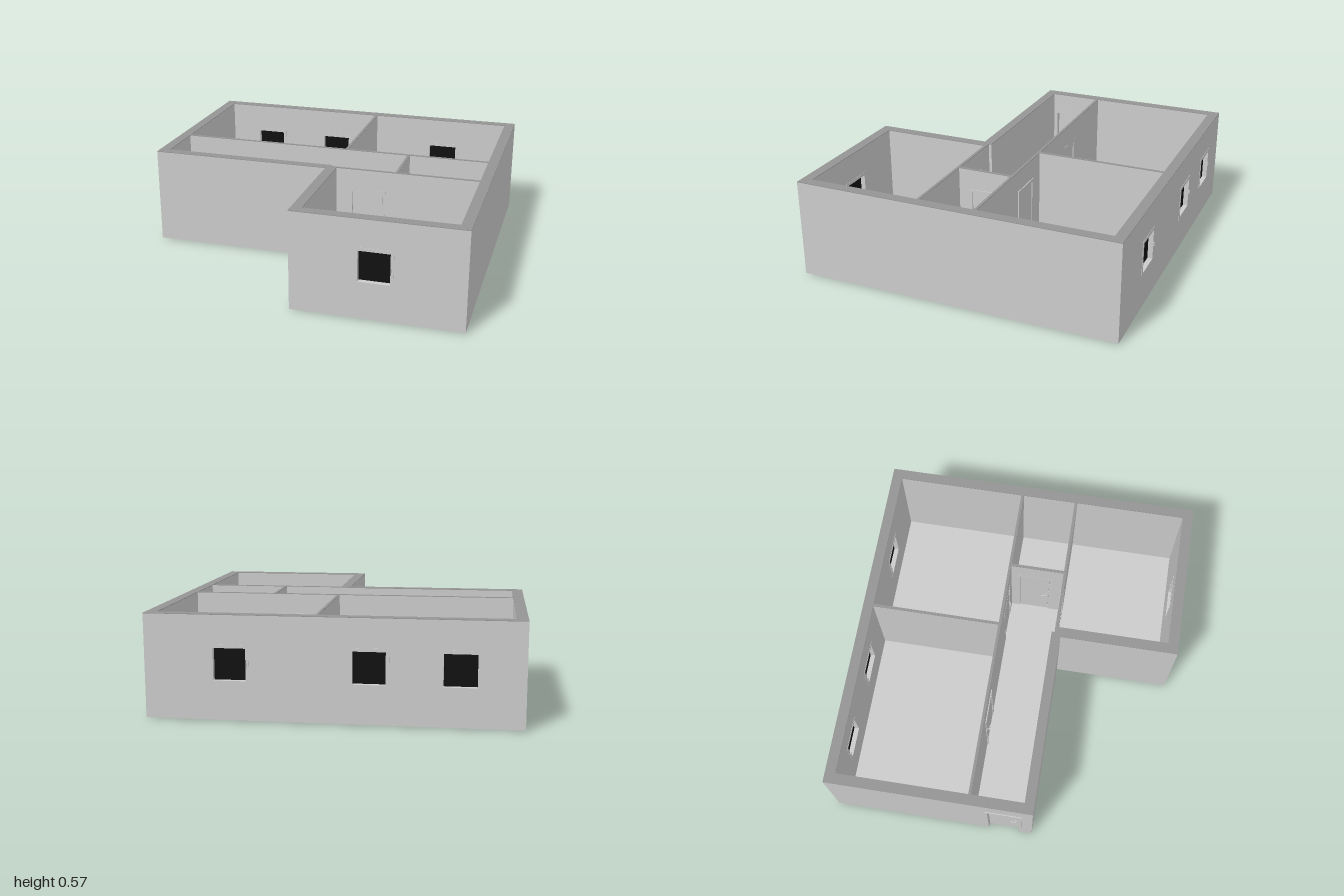
import * as THREE from 'three';

const grey = new THREE.MeshStandardMaterial({ color: 0xcccccc });
const topGrey = new THREE.MeshStandardMaterial({ color: 0x949494 });
const black = new THREE.MeshStandardMaterial({ color: 0x111111 });

const BASE = 0.005, TOP = 0.57, CAP = 0.003;
const WIN = { w: 0.21, y: 0.2, h: 0.21 };
const DOOR = { w: 0.21, h: 0.45 };

function add(parent, name, geometry, material, x = 0, y = 0, z = 0) {
  const mesh = new THREE.Mesh(geometry, material);
  mesh.name = name;
  mesh.position.set(x, y, z);
  parent.add(mesh);
  return mesh;
}

function box(parent, name, w, h, d, x, y, z, material = grey) {
  return add(parent, name, new THREE.BoxGeometry(w, h, d), material, x, y, z);
}

function polygon(points, Type = THREE.Shape) {
  return new Type(points.map(([x, y]) => new THREE.Vector2(x, y)));
}

function rect(x, y, w, h) {
  return [[x, y], [x + w, y], [x + w, y + h], [x, y + h]];
}

function extrude(shape, depth) {
  const g = new THREE.ExtrudeGeometry(shape, { depth, bevelEnabled: false });
  return g.translate(0, 0, -depth / 2);
}

// Lever handle on a small plate, standing off a face towards +z or -z
function handle(parent, x, y, z, side, length) {
  const h = new THREE.Group();
  h.name = 'handle';
  box(h, 'handlePlate', 0.008, 0.024, 0.004, 0, 0, side * 0.002);
  box(h, 'handleStem', 0.005, 0.005, 0.012, 0, 0, side * 0.007);
  box(h, 'handleLever', Math.abs(length), 0.005, 0.004, length / 2, 0, side * 0.012);
  h.position.set(x, y, z);
  parent.add(h);
}

// Window: flush frame, recessed dark pane, handle on the right seen from outside
function makeWindow(parent, u, t) {
  const g = new THREE.Group();
  g.name = 'window';
  const { w, y, h } = WIN;
  const b = 0.018;
  const shape = polygon(rect(-w / 2, y, w, h));
  shape.holes.push(polygon(rect(-w / 2 + b, y + b, w - 2 * b, h - 2 * b), THREE.Path));
  add(g, 'windowFrame', extrude(shape, t + 0.004), grey);
  box(g, 'windowPane', w - 2 * b, h - 2 * b, 0.008, 0, y + h / 2, 0, black);
  for (const side of [1, -1]) {
    box(g, 'windowHandle', 0.006, 0.022, 0.008, w / 2 - 0.013, y + h / 2, side * (t / 2 + 0.004));
  }
  g.position.x = u;
  parent.add(g);
}

// Door: three-sided frame, leaf and handles
function makeDoor(parent, { u, side = 1, hand = 1 }, t) {
  const g = new THREE.Group();
  g.name = 'door';
  const w = DOOR.w / 2, b = 0.016, h = DOOR.h;
  const frame = polygon([
    [-w, BASE], [-w + b, BASE], [-w + b, h - b], [w - b, h - b],
    [w - b, BASE], [w, BASE], [w, h], [-w, h],
  ]);
  add(g, 'doorFrame', extrude(frame, t + 0.006), grey, 0, 0, side * 0.002);
  const leafH = h - b - 0.01;
  box(g, 'doorLeaf', 2 * (w - b) - 0.004, leafH, 0.012, 0, 0.008 + leafH / 2, side * 0.002);
  for (const s of [1, -1]) {
    handle(g, hand * (w - b - 0.018), 0.215, side * 0.002 + s * 0.006, s, -hand * 0.03);
  }
  g.position.x = u;
  parent.add(g);
}

// Wall from a to b in plan; its outer face lies on local +z
function wall(parent, name, [ax, az], [bx, bz], t, { windows = [], doors = [] } = {}) {
  const g = new THREE.Group();
  g.name = name;
  const len = Math.hypot(bx - ax, bz - az);
  const outline = [[0, BASE]];
  for (const { u } of doors) {
    const l = u - DOOR.w / 2, r = u + DOOR.w / 2;
    outline.push([l, BASE], [l, DOOR.h], [r, DOOR.h], [r, BASE]);
  }
  outline.push([len, BASE], [len, TOP - CAP], [0, TOP - CAP]);
  const shape = polygon(outline);
  for (const u of windows) {
    shape.holes.push(polygon(rect(u - WIN.w / 2, WIN.y, WIN.w, WIN.h), THREE.Path));
  }
  add(g, name + 'Panel', extrude(shape, t), grey);
  box(g, name + 'Top', len, CAP, t, len / 2, TOP - CAP / 2, 0, topGrey);
  windows.forEach((u) => makeWindow(g, u, t));
  doors.forEach((d) => makeDoor(g, d, t));
  g.position.set(ax, 0, az);
  g.rotation.y = Math.atan2(-(bz - az), bx - ax);
  parent.add(g);
}

export function createModel() {
  const house = new THREE.Group();
  house.name = 'floorPlanHouse';

  // Thin L-shaped floor, inset to the middle of the outer walls
  const floor = polygon([
    [-0.97, 0.9], [-0.97, -0.215], [0.085, -0.215], [0.085, -0.9], [0.97, -0.9], [0.97, 0.9],
  ]);
  const floorGeo = new THREE.ExtrudeGeometry(floor, { depth: BASE + 0.001, bevelEnabled: false });
  add(house, 'floor', floorGeo.rotateX(-Math.PI / 2), grey);

  // Outer walls
  const T = 0.06;
  wall(house, 'frontWall', [0.055, 0.9], [1, 0.9], T, { windows: [0.46] });
  wall(house, 'leftWall', [0.97, 0.87], [0.97, -0.87], T);
  wall(house, 'backWall', [1, -0.9], [-1, -0.9], T, { windows: [0.46, 1.195, 1.665] });
  wall(house, 'rightWall', [-0.97, -0.87], [-0.97, 0.245], T, { doors: [{ u: 0.947 }] });
  wall(house, 'corridorFrontWall', [-0.94, 0.2175], [0.08, 0.2175], 0.055);
  wall(house, 'stepWall', [0.085, 0.222], [0.085, 0.87], T);

  // Inner partitions
  const P = 0.016;
  wall(house, 'corridorPartition', [-0.94, -0.116], [0.94, -0.116], P, {
    doors: [{ u: 0.55, side: 1, hand: -1 }, { u: 1.24, side: -1, hand: 1 }],
  });
  wall(house, 'bedroomPartition', [0.083, -0.124], [0.083, -0.87], P);
  wall(house, 'corridorEndPartition', [0.467, 0.207], [0.467, -0.108], P, {
    doors: [{ u: 0.17, side: 1, hand: -1 }],
  });
  wall(house, 'frontRoomPartition', [0.08, 0.215], [0.94, 0.215], P, {
    doors: [{ u: 0.22, side: -1, hand: 1 }],
  });

  return house;
}
